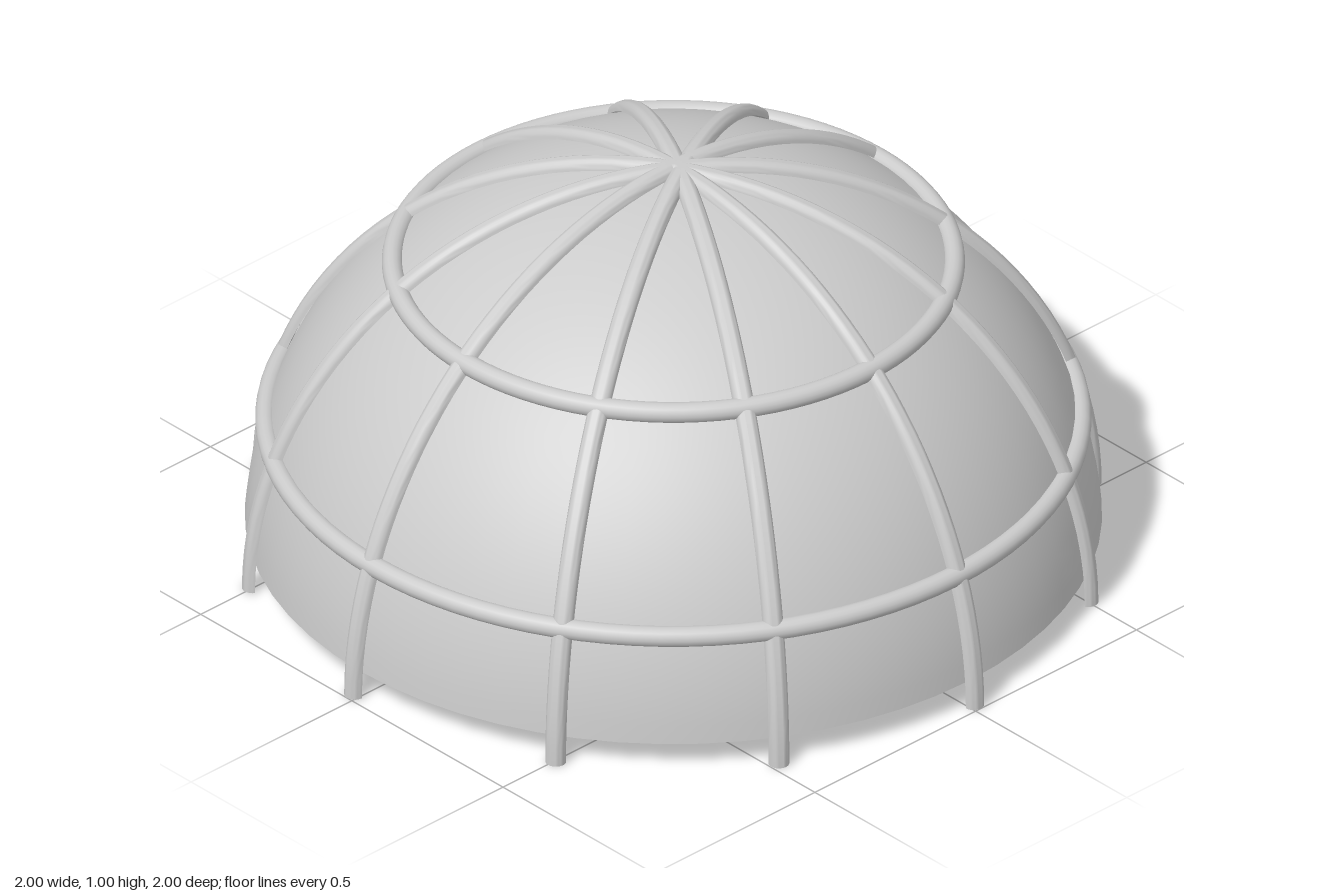
import * as THREE from 'three';
import { toCreasedNormals } from 'three/addons/utils/BufferGeometryUtils.js';

const material = new THREE.MeshStandardMaterial({ color: 0xcccccc });
const DOME_R = 0.974, INNER_R = 0.945, RIM_Y = 0.066;
const RIB_R = 0.976, BAR = 0.024, RIB_SHIFT = -0.016;

function addMesh(parent, name, geometry) {
  const mesh = new THREE.Mesh(geometry, material);
  mesh.name = name;
  parent.add(mesh);
  return mesh;
}

// Points on a circular arc between the rim height and the apex, bottom to top
function domeArc(radius, steps) {
  const start = Math.asin(RIM_Y / radius);
  return Array.from({ length: steps + 1 }, (_, i) => {
    const a = start + (Math.PI / 2 - start) * i / steps;
    return new THREE.Vector2(i === steps ? 0 : radius * Math.cos(a), radius * Math.sin(a));
  });
}

// Hollow shell with a flat rim
function domeGeometry() {
  const outer = domeArc(DOME_R, 32);
  const inner = domeArc(INNER_R, 32).reverse();
  const profile = [inner[inner.length - 1].clone(), ...outer, ...inner];
  return toCreasedNormals(new THREE.LatheGeometry(profile, 64), 0.6);
}

// Half-round bar swept over a semicircle in the xy plane
function ribGeometry() {
  const profile = [];
  for (let i = 0; i <= 12; i++) {
    const a = -Math.PI / 2 + Math.PI * i / 12;
    profile.push(new THREE.Vector2(RIB_R + BAR * Math.cos(a), BAR * Math.sin(a)));
  }
  profile.push(profile[0].clone());
  const sweep = new THREE.LatheGeometry(profile, 64, -Math.PI / 2, Math.PI);
  return toCreasedNormals(sweep.rotateX(-Math.PI / 2), 0.6);
}

export function createModel() {
  const model = new THREE.Group();
  model.name = 'ribbedDome';
  addMesh(model, 'domeShell', domeGeometry());

  // Six arches crossing at the apex, each set slightly to one side of the centre
  const ribGeo = ribGeometry();
  const capGeo = new THREE.CircleGeometry(BAR, 12, -Math.PI / 2, Math.PI).rotateX(Math.PI / 2);
  for (let i = -2; i <= 3; i++) {
    const rib = new THREE.Group();
    rib.name = 'rib';
    rib.rotation.y = i * Math.PI / 6;
    addMesh(rib, 'ribArch', ribGeo).position.z = RIB_SHIFT;
    for (const side of [1, -1]) {
      const cap = addMesh(rib, 'ribFoot', capGeo);
      cap.position.set(side * RIB_R, 0, RIB_SHIFT);
      if (side < 0) cap.rotation.y = Math.PI;
    }
    model.add(rib);
  }

  // Horizontal hoops
  for (const [name, radius, y] of [['lowerHoop', 0.924, 0.325], ['upperHoop', 0.637, 0.744]]) {
    const hoop = new THREE.TorusGeometry(radius, BAR, 16, 96).rotateX(Math.PI / 2);
    addMesh(model, name, hoop).position.y = y;
  }
  return model;
}
